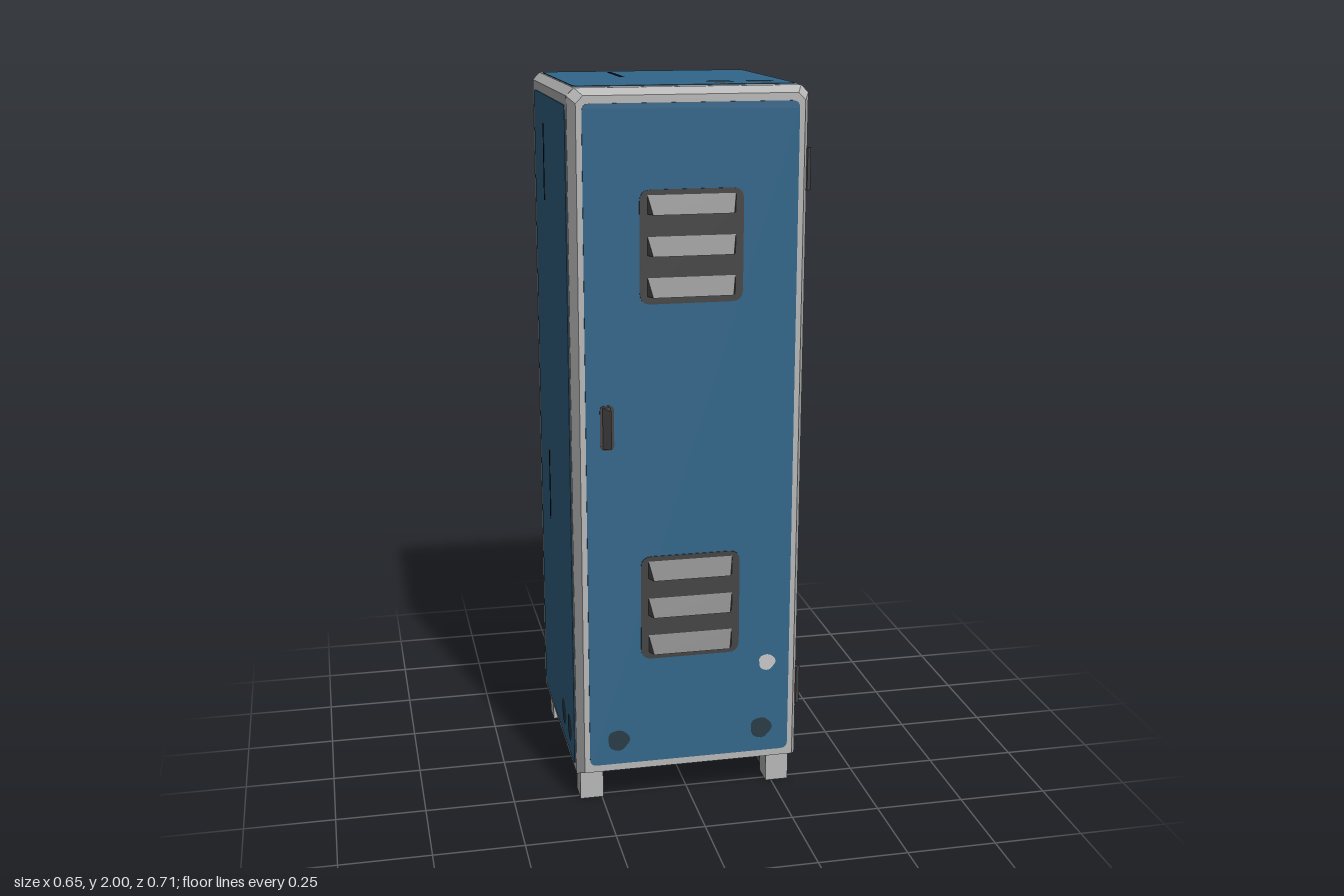
import * as THREE from 'three';

const mat = (name, color) => {
  const m = new THREE.MeshStandardMaterial({ color });
  m.name = name;
  return m;
};

export function createModel() {
  const blue = mat('blue paint', 0x32668a);
  const grey = mat('bare steel', 0xb8b8b8);
  const dark = mat('dark metal', 0x444444);
  const black = mat('black slot', 0x101010);
  const smudge = mat('smudge', 0x2a3b46);
  const chip = mat('paint chip', 0xc8c8c8);

  const root = new THREE.Group();
  root.name = 'locker';
  const CX = -0.006, HALF = 0.319, Y0 = 0.09, Y1 = 1.997;

  function add(parent, name, geo, material, x = 0, y = 0, z = 0) {
    const mesh = new THREE.Mesh(geo, material);
    mesh.name = name;
    mesh.position.set(x, y, z);
    parent.add(mesh);
    return mesh;
  }

  // Cabinet outline with the two upper edges chamfered
  function outline() {
    const c = 0.02;
    return new THREE.Shape([
      [-HALF, Y0], [HALF, Y0], [HALF, Y1 - c], [HALF - c, Y1], [-HALF + c, Y1], [-HALF, Y1 - c],
    ].map(([x, y]) => new THREE.Vector2(x, y)));
  }

  // Thin plate with rounded corners, lying on local z = 0
  function plate(w, h, r) {
    const s = new THREE.Shape(), a = w / 2, b = h / 2;
    s.moveTo(-a + r, -b);
    s.lineTo(a - r, -b);
    s.quadraticCurveTo(a, -b, a, -b + r);
    s.lineTo(a, b - r);
    s.quadraticCurveTo(a, b, a - r, b);
    s.lineTo(-a + r, b);
    s.quadraticCurveTo(-a, b, -a, b - r);
    s.lineTo(-a, -b + r);
    s.quadraticCurveTo(-a, -b, -a + r, -b);
    return new THREE.ExtrudeGeometry(s, { depth: 0.0025, bevelEnabled: false, curveSegments: 4 });
  }

  // Wedge: the outer face collapses to its lower edge, with tapered ends
  function wedge(w, h, d) {
    const g = new THREE.BoxGeometry(w, h, d).toNonIndexed();
    const p = g.attributes.position;
    for (let i = 0; i < p.count; i++) {
      if (p.getZ(i) > 0) p.setXYZ(i, p.getX(i) * 0.91, -h / 2, p.getZ(i));
    }
    g.computeVertexNormals();
    return g;
  }

  // Slightly irregular flat spot
  function spot(r) {
    const s = new THREE.Shape();
    for (let i = 0; i < 16; i++) {
      const a = (i / 16) * Math.PI * 2;
      const k = r * (1 + 0.05 * Math.sin(3 * a + 1) + 0.04 * Math.cos(5 * a));
      if (i) s.lineTo(k * Math.cos(a), k * Math.sin(a));
      else s.moveTo(k * Math.cos(a), k * Math.sin(a));
    }
    return new THREE.ShapeGeometry(s);
  }

  // Cabinet body
  add(root, 'cabinetBody', new THREE.ExtrudeGeometry(outline(), { depth: 0.64, bevelEnabled: false }), grey, CX, 0, -0.355);

  // Feet
  for (const x of [-0.273, 0.273])
    for (const z of [-0.303, 0.236])
      add(root, 'foot', new THREE.BoxGeometry(0.066, 0.09, 0.068), grey, x + CX, 0.045, z);

  // Painted panels, slots and smudges on sides, back and top
  // [name, rotation, position of the panel centre, width, height, slot heights, spot height]
  const faces = [
    ['right', [0, Math.PI / 2, 0], [CX + HALF, 1.03, -0.0225], 0.585, 1.845, [0.735, -0.212], -0.842],
    ['left', [0, -Math.PI / 2, 0], [CX - HALF, 1.03, -0.0225], 0.585, 1.845, [0.735, -0.212], -0.842],
    ['back', [0, Math.PI, 0], [CX, 1.035, -0.355], 0.595, 1.86, [0.742, -0.212], -0.847],
    ['top', [-Math.PI / 2, 0, 0], [CX, Y1, -0.036], 0.59, 0.582, [0.124], -0.216],
  ];
  for (const [name, rot, pos, w, h, slots, spotY] of faces) {
    const side = new THREE.Group();
    side.name = name + 'Side';
    side.rotation.set(...rot);
    side.position.set(...pos);
    root.add(side);
    add(side, name + 'Panel', plate(w, h, 0.02), blue);
    for (const y of slots)
      add(side, 'slot', new THREE.BoxGeometry(0.011, 0.213, 0.002), black, -0.11, y, 0.0025);
    for (const x of [0.107, 0.215])
      add(side, 'smudge', spot(0.037), smudge, x, spotY, 0.0035);
  }

  // Door: same outline, tapering towards the front
  const door = new THREE.Group();
  door.name = 'door';
  door.position.set(CX, 0, 0.288);
  root.add(door);
  const slab = new THREE.ExtrudeGeometry(outline(), { depth: 0.037, bevelEnabled: false });
  const p = slab.attributes.position, mid = (Y0 + Y1) / 2;
  for (let i = 0; i < p.count; i++) {
    if (p.getZ(i) > 0.01) p.setXYZ(i, p.getX(i) * 0.944, mid + (p.getY(i) - mid) * 0.982, p.getZ(i));
  }
  slab.computeVertexNormals();
  add(door, 'doorSlab', slab, grey);
  add(door, 'doorPanel', plate(0.572, 1.832, 0.02), blue, 0, 1.044, 0.037);

  // Louvred vents
  for (const y of [0.59, 1.59]) {
    add(door, 'ventPlate', plate(0.278, 0.3, 0.03), dark, 0, y, 0.039);
    for (const dy of [-0.104, 0.004, 0.112])
      add(door, 'louvre', wedge(0.236, 0.05, 0.026), dark, 0, y + dy, 0.054);
  }

  // Handle
  add(door, 'handlePlate', plate(0.038, 0.124, 0.014), dark, -0.229, 1.11, 0.039);
  add(door, 'handle', wedge(0.114, 0.02, 0.026), dark, -0.231, 1.11, 0.054).rotation.z = Math.PI / 2;

  // Wear marks on the door
  for (const x of [-0.205, 0.207]) add(door, 'smudge', spot(0.031), smudge, x, 0.2, 0.041);
  add(door, 'paintChip', spot(0.024), chip, 0.222, 0.4, 0.041);

  // Hinges: square pins set on edge
  for (const y of [0.305, 1.778])
    add(root, 'hinge', new THREE.BoxGeometry(0.018, 0.112, 0.018), dark, 0.312, y, 0.286).rotation.y = Math.PI / 4;

  return root;
}
